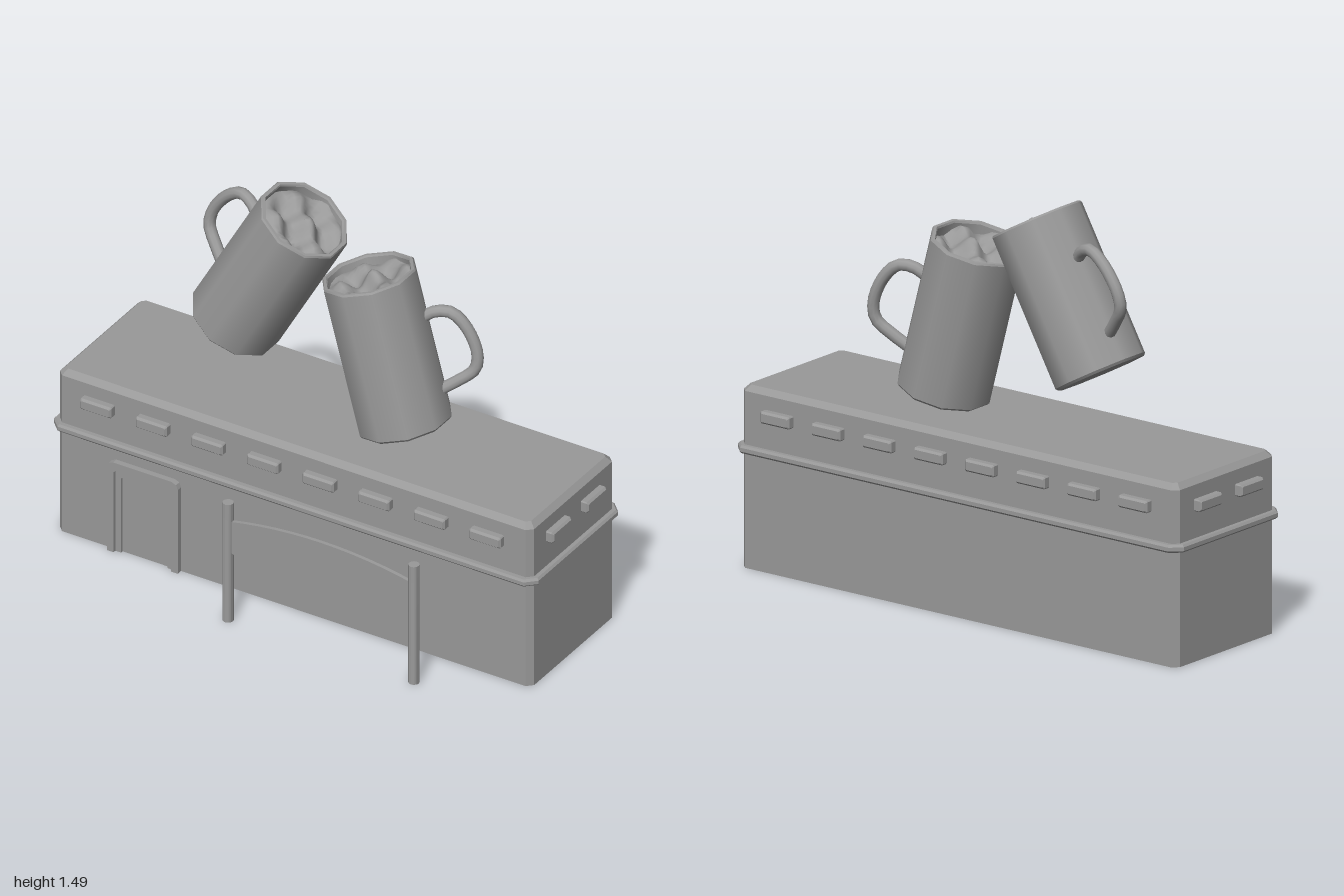
import * as THREE from 'three';
import { toCreasedNormals } from 'three/addons/utils/BufferGeometryUtils.js';

const grey = new THREE.MeshStandardMaterial({ color: 0x999999 });
const greyDouble = new THREE.MeshStandardMaterial({ color: 0x999999, side: THREE.DoubleSide });
const CZ = -0.087; // centre line of the building in z

function add(parent, name, geometry, material = grey) {
  const mesh = new THREE.Mesh(geometry, material);
  mesh.name = name;
  parent.add(mesh);
  return mesh;
}

// Stack of corner-cut rectangles; each level is [halfX, halfZ, cornerCut, y]
function loft(levels, capTop) {
  const pos = [], idx = [];
  for (const [x, z, c, y] of levels) {
    const ring = [[x, z - c], [x, c - z], [x - c, -z], [c - x, -z], [-x, c - z], [-x, z - c], [c - x, z], [x - c, z]];
    for (const [px, pz] of ring) pos.push(px, y, pz);
  }
  for (let l = 0; l < levels.length - 1; l++) {
    for (let i = 0; i < 8; i++) {
      const a = l * 8 + i, b = l * 8 + (i + 1) % 8;
      idx.push(a, b, a + 8, b, b + 8, a + 8);
    }
  }
  const top = (levels.length - 1) * 8;
  if (capTop) for (let i = 1; i < 7; i++) idx.push(top, top + i, top + i + 1);
  const g = new THREE.BufferGeometry();
  g.setAttribute('position', new THREE.Float32BufferAttribute(pos, 3));
  g.setIndex(idx);
  const flat = g.toNonIndexed();
  flat.computeVertexNormals();
  return flat;
}

// Upside-down U with cut corners, standing on y = 0
function archGeometry(outW, outH, inW, inH, depth) {
  const c = 0.025, d = 0.015;
  const points = [
    [-outW, 0], [-inW, 0], [-inW, inH - d], [d - inW, inH], [inW - d, inH], [inW, inH - d], [inW, 0],
    [outW, 0], [outW, outH - c], [outW - c * 0.3, outH - c * 0.3], [outW - c, outH],
    [c - outW, outH], [c * 0.3 - outW, outH - c * 0.3], [-outW, outH - c],
  ].map(([x, y]) => new THREE.Vector2(x, y));
  return new THREE.ExtrudeGeometry(new THREE.Shape(points), { depth, bevelEnabled: false });
}

function createBuilding() {
  const building = new THREE.Group();
  building.name = 'building';
  building.position.z = CZ;

  // Walls and roof, open underneath
  add(building, 'walls', loft([
    [0.97, 0.278, 0.022, 0],
    [0.97, 0.278, 0.022, 0.643],
    [0.95, 0.258, 0.014, 0.664],
  ], true), greyDouble);

  // Moulding around the walls
  add(building, 'moulding', loft([
    [0.96, 0.27, 0.022, 0.42],
    [0.985, 0.294, 0.035, 0.42],
    [0.992, 0.3, 0.038, 0.427],
    [0.992, 0.3, 0.038, 0.441],
    [0.985, 0.294, 0.035, 0.449],
    [0.96, 0.27, 0.022, 0.449],
  ], false));

  // Raised blocks on all four sides
  const block = loft([
    [0.064, 0.022, 0.004, -0.01],
    [0.064, 0.022, 0.004, 0.022],
    [0.057, 0.015, 0.003, 0.03],
  ], true).rotateX(Math.PI / 2);
  for (const side of [1, -1]) {
    for (let i = 0; i < 8; i++) {
      const m = add(building, side > 0 ? 'frontBlock' : 'backBlock', block);
      m.position.set(-0.796 + i * 0.2275, 0.57, side * 0.278);
      if (side < 0) m.rotation.y = Math.PI;
    }
    for (const z of [0.115, -0.115]) {
      const m = add(building, 'sideBlock', block);
      m.position.set(side * 0.97, 0.57, z);
      m.rotation.y = side * Math.PI / 2;
    }
  }

  // Stepped door frame; the outer step passes through the wall
  const outer = add(building, 'doorFrame', archGeometry(0.145, 0.37, 0.118, 0.345, 0.045));
  const inner = add(building, 'doorFrameInner', archGeometry(0.12, 0.347, 0.095, 0.32, 0.014));
  outer.position.set(-0.606, 0, 0.255);
  inner.position.set(-0.606, 0, 0.274);
  return building;
}

function createBanner() {
  const banner = new THREE.Group();
  banner.name = 'banner';
  banner.position.set(0.224, 0, 0.372);
  for (const s of [-1, 1]) {
    const post = add(banner, 'post', toCreasedNormals(new THREE.CylinderGeometry(0.02, 0.02, 0.485, 12), 0.8));
    post.position.set(s * 0.38, 0.2425, 0);
  }
  // Cloth bulging upwards and downwards in the middle
  const cloth = new THREE.Shape();
  cloth.moveTo(-0.375, 0.285);
  cloth.quadraticCurveTo(0, 0.205, 0.375, 0.285);
  cloth.lineTo(0.375, 0.41);
  cloth.quadraticCurveTo(0, 0.49, -0.375, 0.41);
  const g = new THREE.ExtrudeGeometry(cloth, { depth: 0.014, bevelEnabled: false, curveSegments: 12 });
  add(banner, 'bannerCloth', g.translate(0, 0, -0.007));
  return banner;
}

// Mug standing on its own origin; side is the x direction of the handle
function createMug(side, yaw) {
  const mug = new THREE.Group();
  mug.name = 'mug';

  // Inner profile corners are doubled to keep the edges sharp
  const corners = [
    [0, 0], [0.164, 0], [0.172, 0.009], [0.172, 0.577], [0.168, 0.584],
    [0.157, 0.584], [0.153, 0.577], [0.153, 0.46],
  ];
  const profile = corners.flatMap(([r, y], i) => {
    const copies = i === 0 || i === corners.length - 1 ? 1 : 2;
    return Array.from({ length: copies }, () => new THREE.Vector2(r, y));
  });
  add(mug, 'mugBody', new THREE.LatheGeometry(profile, 10), greyDouble);

  // Wavy foam filling the mug
  const foam = new THREE.RingGeometry(0.0005, 0.15, 30, 10).rotateX(-Math.PI / 2);
  const p = foam.attributes.position;
  for (let i = 0; i < p.count; i++) {
    const x = p.getX(i), z = p.getZ(i);
    const wave = Math.sin(x * 36 + 0.9) * Math.cos(z * 40 + 0.5) + 0.5 * Math.sin(x * 24 - z * 44 + 1);
    const fade = 1 - 0.5 * Math.pow(Math.hypot(x, z) / 0.15, 4);
    p.setY(i, 0.55 + 0.03 * wave * fade);
  }
  foam.computeVertexNormals();
  add(mug, 'foam', foam, greyDouble);

  // Handle, turned a little towards the back
  const path = [
    [0.14, 0.39], [0.2, 0.41], [0.258, 0.4], [0.3, 0.335], [0.315, 0.23],
    [0.292, 0.172], [0.225, 0.138], [0.15, 0.11],
  ].map(([r, y]) => new THREE.Vector3(side * r * Math.cos(yaw), y, -r * Math.sin(yaw)));
  add(mug, 'handle', new THREE.TubeGeometry(new THREE.CatmullRomCurve3(path), 18, 0.022, 10));
  return mug;
}

export function createModel() {
  const model = new THREE.Group();
  model.name = 'tavern';
  model.add(createBuilding(), createBanner());

  // Two mugs leaning together above the roof
  const rightMug = createMug(-1, 0.31);
  rightMug.position.set(-0.417, 0.902, -0.09);
  rightMug.rotation.z = -0.515;
  const leftMug = createMug(1, 0.36);
  leftMug.position.set(0.283, 0.711, -0.09);
  leftMug.rotation.z = 0.263;
  model.add(rightMug, leftMug);
  return model;
}
